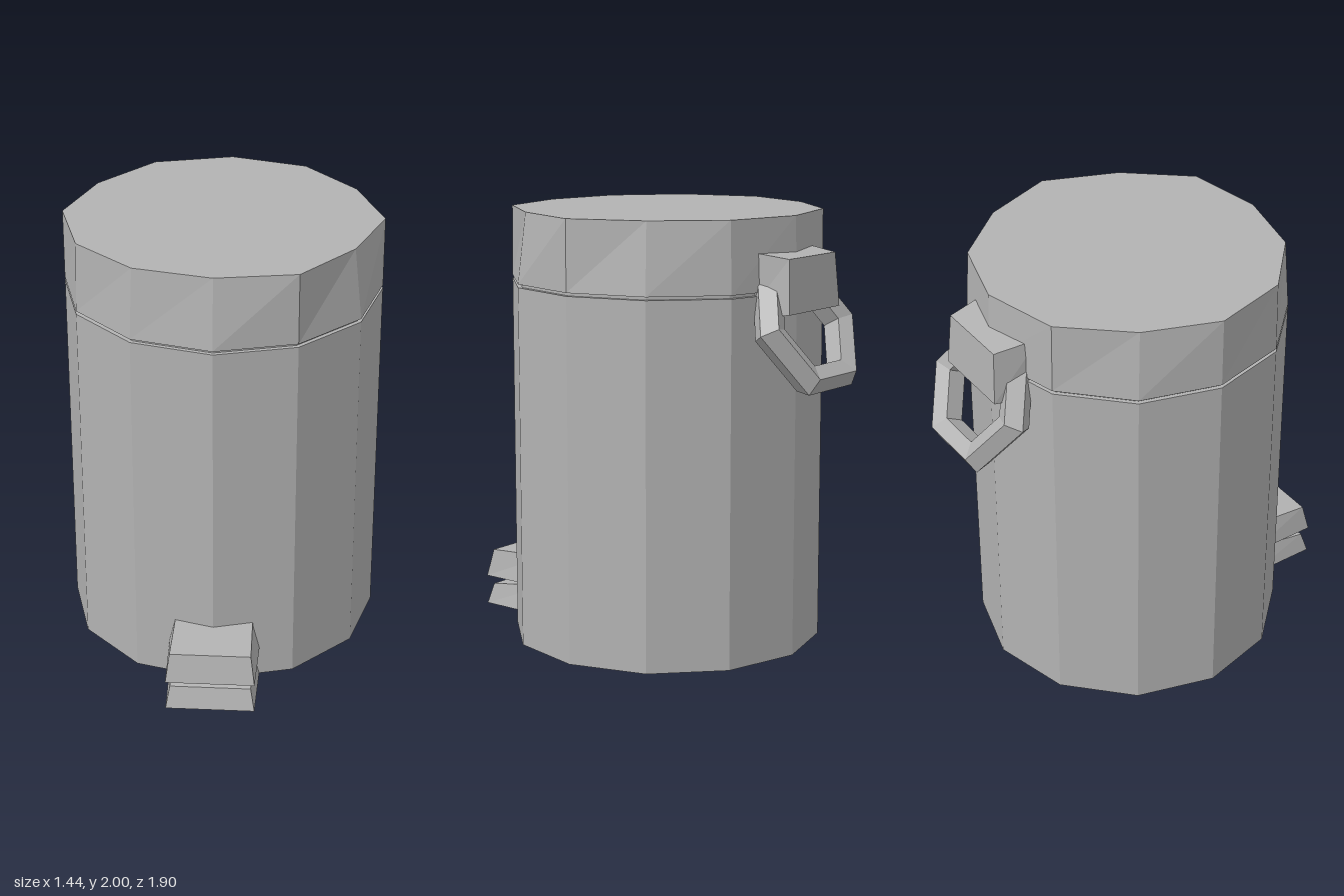
import * as THREE from 'three';

const grey = new THREE.MeshStandardMaterial({ color: 0xb2b2b2, flatShading: true, side: THREE.DoubleSide });
grey.name = 'grey metal';

// Solid between two loops of [x, y, z], each counterclockwise seen from above
function loft(bottom, top, closedBottom = true) {
  const pos = [];
  const n = bottom.length;
  const tri = (...corners) => corners.forEach((c) => pos.push(...c));
  for (let i = 0; i < n; i++) {
    const j = (i + 1) % n;
    tri(bottom[i], bottom[j], top[j]);
    tri(bottom[i], top[j], top[i]);
    if (i > 0 && i < n - 1) {
      tri(top[0], top[i], top[j]);
      if (closedBottom) tri(bottom[0], bottom[j], bottom[i]);
    }
  }
  const geo = new THREE.BufferGeometry();
  geo.setAttribute('position', new THREE.Float32BufferAttribute(pos, 3));
  geo.computeVertexNormals();
  return geo;
}

// Four-cornered loop: half width, z and y at the front and at the back
const quad = (wf, zf, yf, wb, zb, yb) => [[-wf, yf, zf], [wf, yf, zf], [wb, yb, zb], [-wb, yb, zb]];

export function createModel() {
  const model = new THREE.Group();
  const add = (name, geometry) => {
    const mesh = new THREE.Mesh(geometry, grey);
    mesh.name = name;
    model.add(mesh);
    return mesh;
  };

  // Twelve-sided bin with a recessed neck under the lid
  const R = 0.72;
  add('body', new THREE.CylinderGeometry(R, R, 1.663, 12)).position.y = 0.8315;
  add('neck', new THREE.CylinderGeometry(0.7, 0.7, 0.03, 12, 1, true)).position.y = 1.67;

  // Lid with a slightly uneven top
  const rim = Array.from({ length: 12 }, (_, i) => {
    const a = (i * Math.PI) / 6;
    return [R * Math.sin(a), 1.678, R * Math.cos(a)];
  });
  const lidTop = [
    [0, 0.68], [0.36, 0.62], [0.59, 0.34], [0.72, 0], [0.59, -0.34], [0.35, -0.61],
    [0, -0.71], [-0.36, -0.62], [-0.6, -0.34], [-0.72, 0], [-0.615, 0.36], [-0.35, 0.6],
  ].map(([x, z]) => [x, 2, z]);
  add('lid', loft(rim, lidTop));

  // Two stacked pedals, open underneath
  for (const [name, y, front, back] of [['lowerPedal', 0, 0.1, 0.142], ['upperPedal', 0.14, 0.273, 0.288]]) {
    add(name, loft(
      quad(0.2, 0.96, y, 0.21, 0.6, y),
      quad(0.182, 0.93, front, 0.175, 0.6, back),
      false,
    ));
  }

  // Hinge block at the back
  add('handleMount', loft(
    quad(0.22, -0.6, 1.57, 0.2, -0.815, 1.59),
    quad(0.22, -0.6, 1.855, 0.183, -0.8, 1.83),
  ));

  // Tilted six-sided ring handle
  const ring = add('ringHandle', new THREE.TorusGeometry(0.272, 0.072, 5, 6));
  ring.position.set(0, 1.51, -0.765);
  ring.rotation.x = 0.484;

  return model;
}
